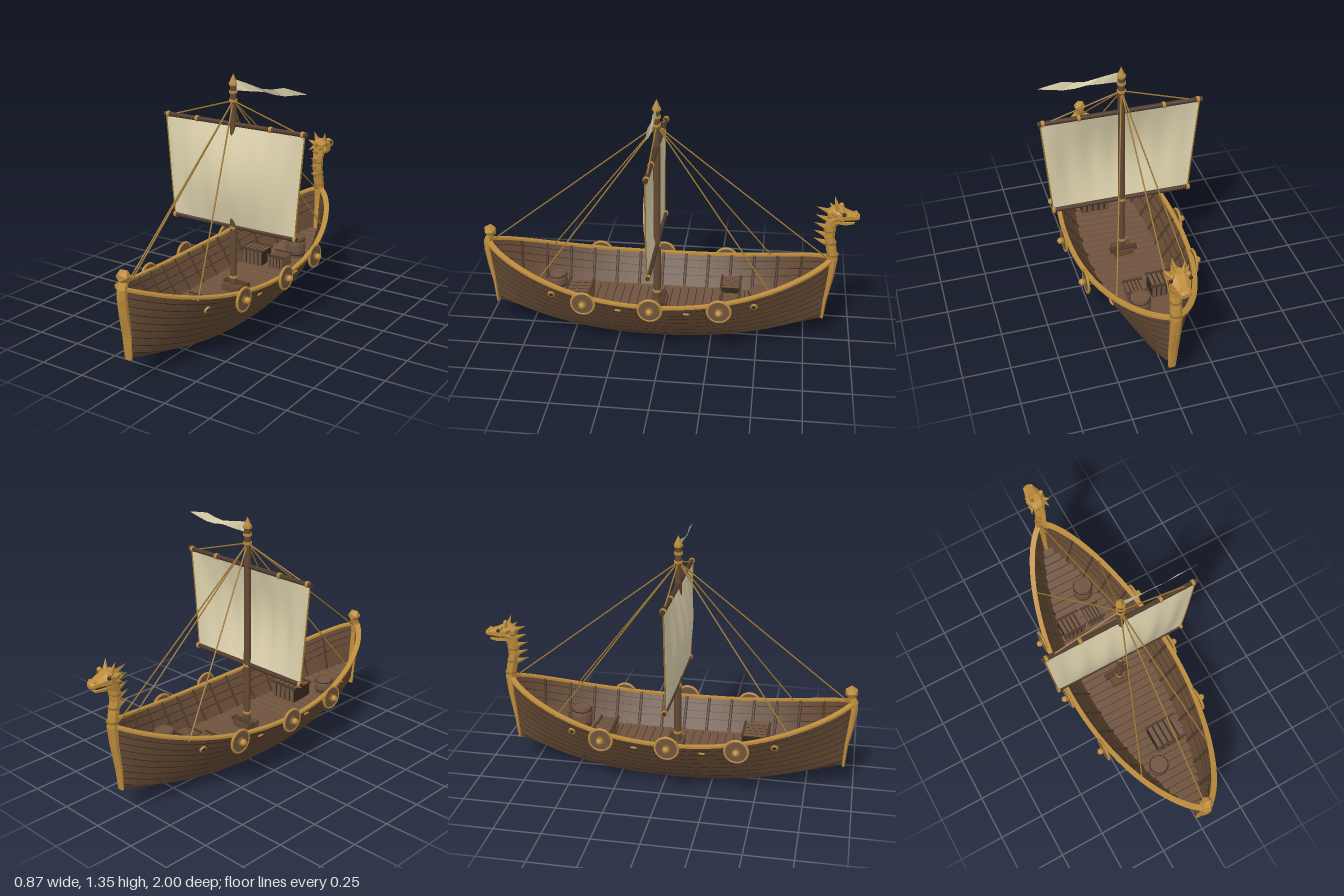
import * as THREE from 'three';

const mat = (name, color) => Object.assign(new THREE.MeshStandardMaterial({ color, side: THREE.DoubleSide }), { name });
const wood = mat('hull wood', 0x644933), plank = mat('deck wood', 0x70543f), dark = mat('dark wood', 0x35281e);
const spar = mat('spar wood', 0x4f3a2a), gold = mat('gilded wood', 0xbc8c3c), bronze = mat('dark gold', 0x956f30);
const rope = mat('rope', 0xa07932), cloth = mat('sail cloth', 0xded3ae);
const V = (x, y, z) => new THREE.Vector3(x, y, z);
const MZ = 0.05; // midship z, where the mast stands

// surface from a grid of points fn(i, j); flat unless smooth
function grid(nu, nv, fn, flip = false, smooth = false) {
  const pos = [], idx = [];
  for (let i = 0; i <= nu; i++) for (let j = 0; j <= nv; j++) pos.push(...fn(i, j));
  for (let i = 0; i < nu; i++) for (let j = 0; j < nv; j++) {
    const a = i * (nv + 1) + j, b = a + nv + 1;
    if (flip) idx.push(a, a + 1, b, b, a + 1, b + 1);
    else idx.push(a, b, a + 1, b, b + 1, a + 1);
  }
  let g = new THREE.BufferGeometry();
  g.setAttribute('position', new THREE.Float32BufferAttribute(pos, 3));
  g.setIndex(idx);
  if (!smooth) g = g.toNonIndexed();
  g.computeVertexNormals();
  return g;
}

// hull lines: u runs stern to bow (-1..1), t runs keel to rail (0..1)
const beam = u => Math.max(0.02, 0.31 * Math.max(0, 1 - u * u) ** 0.68);
const keelY = u => 0.14 * Math.abs(u) ** 2.3;
const railY = u => 0.32 + 0.18 * Math.abs(u) ** 2.2;
const deckY = u => 0.16 + 0.1 * u * u;
const flare = t => t < 0.1 ? 3.3 * t : 0.33 + 0.67 * ((t - 0.1) / 0.9) ** 0.88;
const deckT = u => (deckY(u) - keelY(u)) / (railY(u) - keelY(u));
const hullZ = (u, t) => MZ + u * (0.9 + 0.022 * t);
function hullPoint(u, t, off, s) {
  const x = Math.max(0, beam(u) * flare(t) + off * 0.8);
  return [s * x, keelY(u) + (railY(u) - keelY(u)) * t - off * 0.55, hullZ(u, t)];
}

export function createModel() {
  const root = new THREE.Group();
  const add = (name, geo, m, parent = root) => {
    const mesh = new THREE.Mesh(geo, m);
    mesh.name = name;
    parent.add(mesh);
    return mesh;
  };
  const group = name => { const g = new THREE.Group(); g.name = name; root.add(g); return g; };
  const box = (name, w, h, d, x, y, z, m, parent) => {
    const b = add(name, new THREE.BoxGeometry(w, h, d), m, parent);
    b.position.set(x, y, z);
    return b;
  };
  // round bar or cone from a to b
  const rod = (name, a, b, r1, r2, m, parent, seg = 8) => {
    const r = add(name, new THREE.CylinderGeometry(r2, r1, a.distanceTo(b), seg), m, parent);
    r.position.copy(a).add(b).multiplyScalar(0.5);
    r.quaternion.setFromUnitVectors(V(0, 1, 0), b.clone().sub(a).normalize());
    return r;
  };
  // solid through elliptical sections [y, z, rx, r2], lying flat or upright, closed at the ends
  const loft = (name, list, upright, m, parent, n = 8) => {
    const first = list[0], last = list[list.length - 1];
    const rings = [[first[0], first[1], 0, 0], ...list, [last[0], last[1], 0, 0]];
    add(name, grid(rings.length - 1, n, (i, j) => {
      const [y, z, rx, r2] = rings[i], a = (j + 0.5) / n * Math.PI * 2;
      const c = Math.cos(a) * rx, d = Math.sin(a) * r2;
      return upright ? [c, y + d, z] : [c, y, z + d];
    }, upright), m, parent);
  };

  // hull: lapped strakes, seams, lining, rails; sampled finer toward the ends
  const N = 56, U = i => Math.sin((i / N - 0.5) * Math.PI), STRAKES = 8;
  const hull = group('hull');
  const profile = [[0, 0], [0.1, 0]];
  for (let k = 0; k < STRAKES; k++) profile.push([0.1 + 0.9 * k / STRAKES, 0.003], [0.1 + 0.9 * (k + 1) / STRAKES, 0]);
  for (const s of [1, -1]) {
    add('strakes', grid(N, profile.length - 1, (i, j) => hullPoint(U(i), ...profile[j], s), s > 0), wood, hull);
    add('lining', grid(N, 6, (i, j) => {
      const t0 = deckT(U(i)) - 0.05;
      return hullPoint(U(i), t0 + (1 - t0) * j / 6, -0.007, s);
    }, s < 0), wood, hull);
    for (let k = 0; k < STRAKES; k++) {
      const t = 0.1 + 0.9 * k / STRAKES;
      add('seam', grid(N, 1, (i, j) => hullPoint(U(i), t - 0.013 * (1 - j), 0.002, s), s > 0), dark, hull);
      if (k > 4) add('innerSeam', grid(N, 1, (i, j) => hullPoint(U(i), t + 0.01 * j, -0.0085, s), s < 0), dark, hull);
    }
    const corners = [[-1, -1], [1, -1], [1, 1], [-1, 1], [-1, -1]];
    add('gunwale', grid(N, 4, (i, j) => {
      const u = U(i), [a, b] = corners[j];
      return [s * Math.max(0, beam(u) + a * 0.012), railY(u) + b * 0.006, hullZ(u, 1) + a * 0.01 * u];
    }, s > 0), gold, hull);
    // ribs against the lining
    for (let k = -6; k <= 6; k++) {
      const u = k * 0.14, t0 = deckT(u);
      const pts = [0, 0.33, 0.66, 0.97].map(q => V(...hullPoint(u, t0 + (1 - t0) * q, -0.01, s)));
      add('rib', new THREE.TubeGeometry(new THREE.CatmullRomCurve3(pts), 5, 0.008, 4), spar, hull);
    }
    // oar ports and small cleats
    for (const u of [0.59, -0.58]) {
      const p = V(...hullPoint(u, 0.79, 0.002, s));
      rod('oarPort', p, p.clone().add(V(s * 0.008, -0.004, 0)), 0.02, 0.02, gold, hull, 10);
      rod('oarHole', p, p.clone().add(V(s * 0.01, -0.005, 0)), 0.01, 0.01, dark, hull, 10);
    }
    for (const u of [0.19, -0.2]) {
      const p = hullPoint(u, 0.84, 0.006, s);
      rod('cleat', V(p[0], p[1], p[2] - 0.015), V(p[0], p[1], p[2] + 0.015), 0.006, 0.006, gold, hull, 5);
    }
  }

  // deck planks laid across a dark underlay
  const deck = group('deck');
  add('underdeck', grid(N, 1, (i, j) => {
    const u = U(i) * 0.97, w = beam(u) * flare(deckT(u)) - 0.004;
    return [w * (j * 2 - 1), deckY(u) - 0.002, MZ + u * 0.9];
  }), dark, deck);
  for (let k = -19; k <= 19; k++) {
    const u = k * 0.05, w = beam(u) * flare(deckT(u)) - 0.004;
    if (w > 0.012) box('deckPlank', w * 2, 0.012, 0.041, 0, deckY(u), MZ + u * 0.9, plank, deck).rotation.x = -0.2 * u;
  }

  // bow post with faceted finial
  const bow = group('bowPost');
  loft('post', [[0.13, 0.944, 0.022, 0.008], [0.25, 0.95, 0.027, 0.013], [0.36, 0.966, 0.028, 0.02],
    [0.45, 0.976, 0.028, 0.023], [0.5, 0.974, 0.028, 0.025], [0.53, 0.962, 0.024, 0.022]], false, gold, bow);
  add('finial', new THREE.IcosahedronGeometry(0.037, 0), gold, bow).position.set(0, 0.556, 0.96);

  // stern post rising into a beast head
  const stern = group('sternFigurehead');
  loft('neck', [[0.14, -0.844, 0.02, 0.008], [0.25, -0.851, 0.026, 0.014], [0.4, -0.872, 0.029, 0.022],
    [0.5, -0.878, 0.03, 0.028], [0.57, -0.865, 0.03, 0.029], [0.63, -0.852, 0.03, 0.029],
    [0.69, -0.855, 0.031, 0.031], [0.74, -0.872, 0.036, 0.038], [0.78, -0.885, 0.026, 0.028]], false, gold, stern);
  loft('head', [[0.762, -0.835, 0.026, 0.024], [0.764, -0.865, 0.046, 0.04], [0.762, -0.905, 0.056, 0.04],
    [0.757, -0.935, 0.046, 0.029], [0.754, -0.965, 0.036, 0.022], [0.752, -0.99, 0.03, 0.02],
    [0.75, -1.0, 0.018, 0.012]], true, gold, stern);
  loft('jaw', [[0.728, -0.875, 0.038, 0.02], [0.716, -0.93, 0.03, 0.013], [0.72, -0.975, 0.022, 0.009]], true, gold, stern, 6);
  loft('mouth', [[0.734, -0.92, 0.034, 0.008], [0.732, -0.972, 0.022, 0.006]], true, dark, stern, 6);
  for (const s of [1, -1]) {
    add('eye', new THREE.SphereGeometry(0.01, 8, 6), dark, stern).position.set(s * 0.048, 0.779, -0.918);
    add('brow', new THREE.SphereGeometry(0.014, 8, 6), gold, stern).position.set(s * 0.04, 0.793, -0.905);
    add('nostril', new THREE.SphereGeometry(0.009, 6, 4), gold, stern).position.set(s * 0.018, 0.768, -0.98);
    rod('horn', V(s * 0.022, 0.785, -0.885), V(s * 0.036, 0.845, -0.868), 0.016, 0, gold, stern, 5);
    rod('ear', V(s * 0.036, 0.77, -0.875), V(s * 0.064, 0.795, -0.845), 0.016, 0, gold, stern, 5);
    rod('cheekSpike', V(s * 0.036, 0.75, -0.875), V(s * 0.054, 0.735, -0.835), 0.014, 0, gold, stern, 5);
  }
  [0.6, 0.645, 0.69, 0.735, 0.78].forEach((y, k) => {
    const z = -0.825 - 0.004 * Math.max(0, k - 2);
    rod('maneSpike', V(0, y - 0.008, z - 0.012), V(0, y + 0.018, z + 0.056), 0.017, 0, gold, stern, 4);
  });
  for (const [y, z] of [[0.52, -0.876], [0.59, -0.861], [0.66, -0.853]])
    rod('neckBand', V(0, y, z), V(0, y + 0.01, z), 0.032, 0.032, bronze, stern);

  // mast
  const mast = group('mast');
  rod('pole', V(0, 0.15, MZ), V(0, 1.29, MZ), 0.02, 0.018, wood, mast, 10);
  for (const y of [0.24, 0.52, 1.2, 1.245, 1.285]) rod('band', V(0, y, MZ), V(0, y + 0.013, MZ), 0.023, 0.023, gold, mast, 10);
  rod('tip', V(0, 1.29, MZ), V(0, 1.345, MZ), 0.025, 0, gold, mast, 6);
  box('step', 0.11, 0.04, 0.09, 0, 0.18, MZ - 0.01, wood, mast);
  box('stepBeam', 0.15, 0.02, 0.03, 0, 0.2, MZ - 0.03, spar, mast);

  // yards, sail and pennant
  const rig = group('rig');
  for (const [y, h] of [[1.083, 0.435], [0.53, 0.385]]) {
    rod('yard', V(-h, y, MZ), V(h, y, MZ), 0.013, 0.013, spar, rig);
    for (const x of y > 1 ? [0.41, 0.225] : [0.375]) for (const s of [1, -1])
      rod('yardBand', V(s * x - 0.008, y, MZ), V(s * x + 0.008, y, MZ), 0.017, 0.017, gold, rig);
  }
  // the belly is deepest in the middle and dies out at the side edges
  const sailPoint = (a, v) => [a * (0.422 - 0.046 * v), 1.075 - 0.545 * v,
    MZ + 0.004 + Math.sin(Math.PI * v) * (0.051 * (1 - a * a) + 0.004 * Math.sin(a * 19 + v))];
  add('sail', grid(48, 16, (i, j) => sailPoint(i / 24 - 1, j / 16), true, true), cloth, rig);
  for (const s of [1, -1]) {
    const pts = [0, 0.25, 0.5, 0.75, 1].map(v => V(...sailPoint(s, v)));
    add('sailEdgeRope', new THREE.TubeGeometry(new THREE.CatmullRomCurve3(pts), 16, 0.004, 5), rope, rig);
  }
  const flag = [[0.02, 1.26, 1.315, 0], [0.1, 1.264, 1.301, 0.003], [0.18, 1.27, 1.286, 0.005],
    [0.24, 1.262, 1.292, 0.006], [0.3, 1.262, 1.306, 0.004], [0.36, 1.274, 1.298, 0.003], [0.425, 1.286, 1.288, 0]];
  add('pennant', grid(6, 1, (i, j) => [flag[i][0], flag[i][1 + j], MZ + flag[i][3] * (j * 2 - 1)]), cloth, rig);

  // stays, shrouds and yard lifts
  const top = V(0, 1.205, MZ);
  const ends = [V(0, 0.5, 0.95), V(0, 0.5, -0.85)];
  for (const s of [1, -1]) ends.push(V(s * 0.205, 0.375, 0.665), V(s * 0.205, 0.375, -0.57), V(s * 0.37, 1.09, MZ));
  for (const e of ends) rod('line', top, e, 0.004, 0.004, rope, rig, 5);

  // shields along the rails
  for (const s of [1, -1]) for (const [z, x] of [[0.405, 0.295], [MZ, 0.325], [-0.305, 0.295]]) {
    const g = group('shield');
    rod('board', V(-0.005, 0, 0), V(0.005, 0, 0), 0.062, 0.062, plank, g, 20);
    add('rim', new THREE.TorusGeometry(0.06, 0.0075, 6, 20), gold, g).rotation.y = Math.PI / 2;
    add('boss', new THREE.SphereGeometry(0.018, 10, 8), gold, g).position.x = 0.022;
    rod('bossRing', V(0, 0, 0), V(0.01, 0, 0), 0.022, 0.022, bronze, g, 12);
    g.position.set(s * x, 0.31, z);
    g.rotation.y = s > 0 ? 0 : Math.PI;
  }

  // slatted crates
  for (const [x, z, w, d, h] of [[0.055, 0.47, 0.17, 0.14, 0.08], [-0.1, -0.345, 0.13, 0.11, 0.08], [0.045, -0.35, 0.1, 0.1, 0.065]]) {
    const g = group('crate'), n = 5, sw = w / n;
    box('core', w - 0.008, h, d - 0.008, 0, h / 2, 0, dark, g);
    for (let k = 0; k < n; k++) box('slat', sw * 0.68, h + 0.008, d, (k + 0.5) * sw - w / 2, h / 2, 0, plank, g);
    for (const s of [1, -1]) box('batten', w + 0.008, 0.012, 0.012, 0, h + 0.004, s * (d / 2 - 0.004), spar, g);
    g.position.set(x, deckY((z - MZ) / 0.9) + 0.004, z);
  }

  // barrels
  for (const [x, z, r, h] of [[0.062, -0.5, 0.058, 0.12], [-0.07, 0.615, 0.054, 0.08]]) {
    const g = group('barrel');
    const pts = [[0, 0], [0.84, 0], [1, 0.35], [1, 0.65], [0.86, 1], [0.78, 1], [0.78, 0.96], [0, 0.96]];
    add('staves', new THREE.LatheGeometry(pts.map(([a, b]) => new THREE.Vector2(a * r, b * h)), 14).toNonIndexed(), plank, g)
      .geometry.computeVertexNormals();
    for (const v of [0.15, 0.85]) {
      const hoop = add('hoop', new THREE.TorusGeometry(r * 0.92, 0.003, 4, 14), dark, g);
      hoop.rotation.x = Math.PI / 2;
      hoop.position.y = v * h;
    }
    g.position.set(x, deckY((z - MZ) / 0.9) + 0.004, z);
  }
  return root;
}
